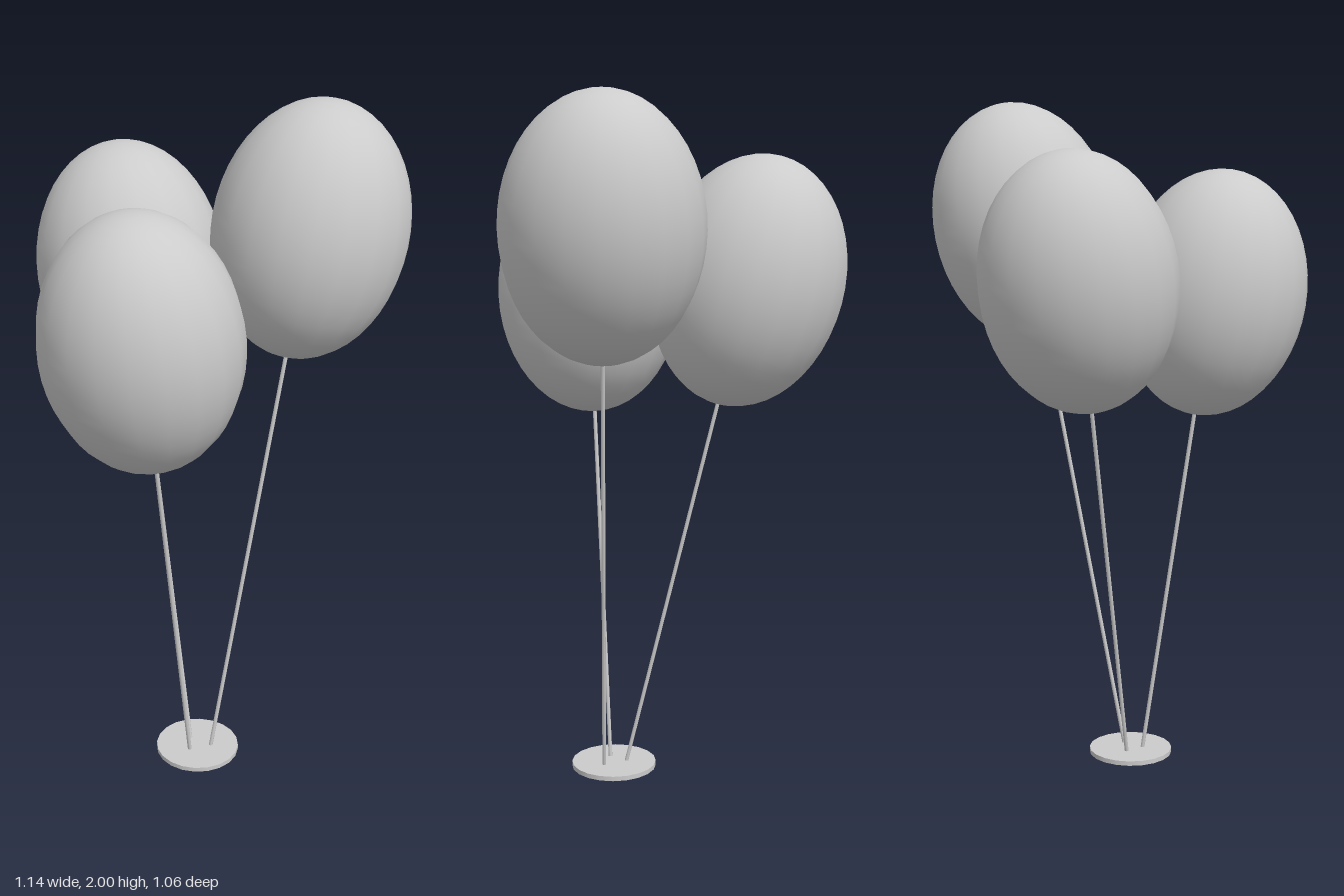
import * as THREE from 'three';

const material = new THREE.MeshStandardMaterial({ color: 0xcccccc });
const UP = new THREE.Vector3(0, 1, 0);

function addMesh(parent, name, geometry, position) {
  const mesh = new THREE.Mesh(geometry, material);
  mesh.name = name;
  mesh.position.copy(position);
  parent.add(mesh);
  return mesh;
}

// One balloon, leaning along the string that holds it
function createBalloon(name, foot, centre) {
  const group = new THREE.Group();
  group.name = name;
  const start = new THREE.Vector3(...foot);
  const end = new THREE.Vector3(...centre);
  const axis = end.clone().sub(start);
  const length = axis.length() - 0.33; // the string stops just inside the skin
  axis.normalize();
  const lean = new THREE.Quaternion().setFromUnitVectors(UP, axis);

  const skin = new THREE.SphereGeometry(1, 20, 24).scale(0.278, 0.367, 0.278);
  addMesh(group, 'balloonSkin', skin, end).quaternion.copy(lean);

  const middle = start.clone().addScaledVector(axis, length / 2);
  const string = new THREE.CylinderGeometry(0.006, 0.006, length, 8);
  addMesh(group, 'string', string, middle).quaternion.copy(lean);
  return group;
}

export function createModel() {
  const model = new THREE.Group();
  model.name = 'balloonBunch';

  // Flat round weight holding the strings
  addMesh(model, 'baseDisc', new THREE.CylinderGeometry(0.128, 0.128, 0.014, 20),
    new THREE.Vector3(-0.046, 0.007, 0.128));

  model.add(
    createBalloon('rightBalloon', [-0.083, 0.008, 0.128], [-0.29, 1.433, 0.126]),
    createBalloon('leftBalloon', [-0.026, 0.008, 0.165], [0.286, 1.636, 0.25]),
    createBalloon('backBalloon', [-0.036, 0.008, 0.092], [0.086, 1.478, -0.247]),
  );
  return model;
}
